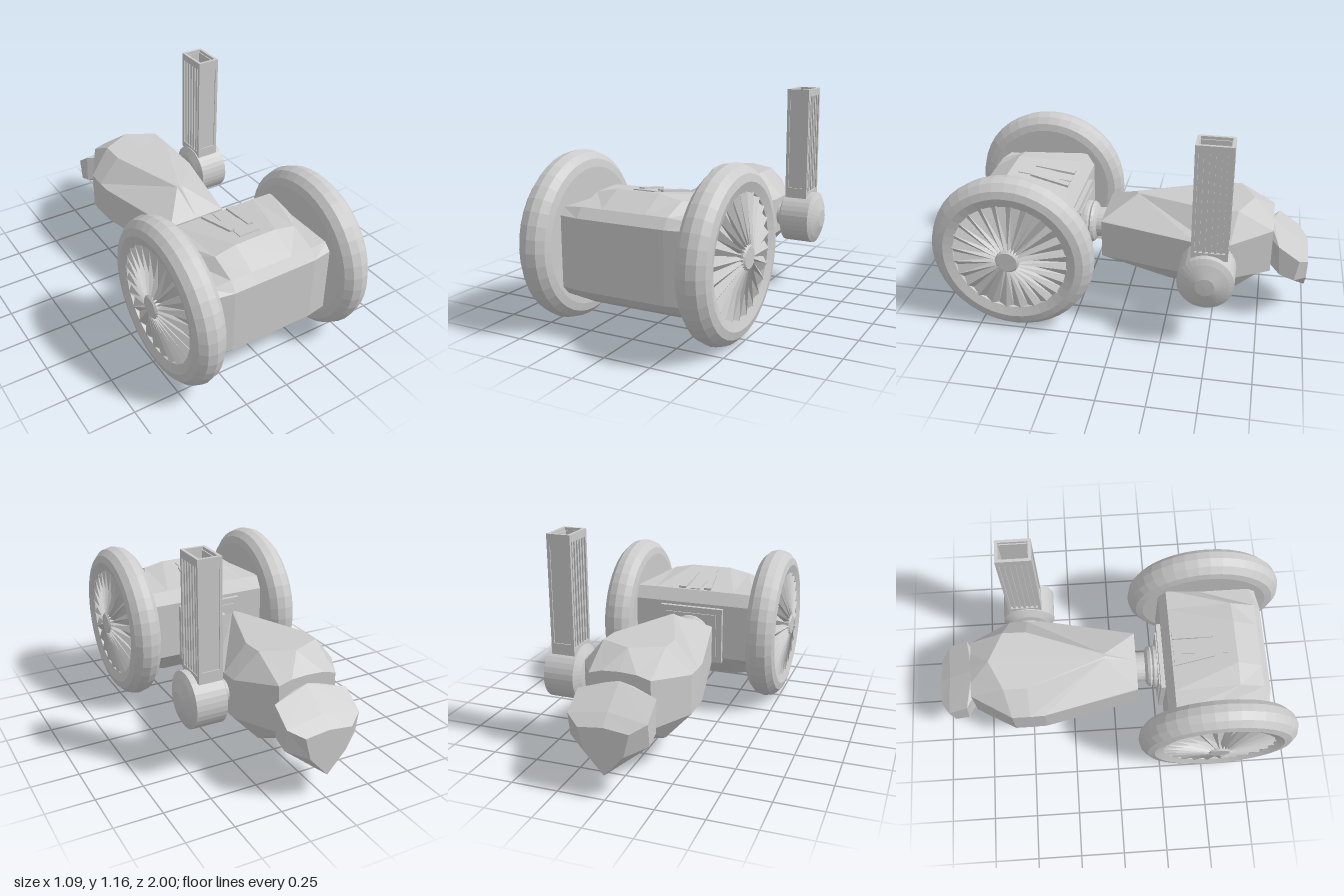
import * as THREE from 'three';

const mat = new THREE.MeshStandardMaterial({ color: 0xcccccc, flatShading: true });
const thin = new THREE.MeshStandardMaterial({ color: 0xcccccc, flatShading: true, side: THREE.DoubleSide });

function add(parent, name, geo, pos = [0, 0, 0], material = mat) {
  const m = new THREE.Mesh(geo, material);
  m.name = name;
  m.position.set(...pos);
  parent.add(m);
  return m;
}

function fromTriangles(tris) {
  const g = new THREE.BufferGeometry();
  g.setAttribute('position', new THREE.Float32BufferAttribute(tris.flat(2), 3));
  g.computeVertexNormals();
  return g;
}

// Closed flat-shaded skin over equal-length rings of points, always facing outward;
// the diagonals mirror across x = 0
function loft(rings) {
  const tris = [], n = rings[0].length;
  for (let i = 0; i < rings.length - 1; i++)
    for (let j = 0; j < n; j++) {
      const k = (j + 1) % n, a = rings[i][j], b = rings[i][k], c = rings[i + 1][k], d = rings[i + 1][j];
      if (a[0] + b[0] + c[0] + d[0] > 0) tris.push([a, b, c], [a, c, d]);
      else tris.push([a, b, d], [b, c, d]);
    }
  const cap = (ring, flip) => {
    const mid = [0, 1, 2].map(k => ring.reduce((s, p) => s + p[k], 0) / n);
    ring.forEach((p, j) => {
      const q = ring[(j + 1) % n];
      tris.push(flip ? [mid, q, p] : [mid, p, q]);
    });
  };
  cap(rings[0], true);
  cap(rings[rings.length - 1], false);
  const volume = tris.reduce((s, [a, b, c]) => s
    + a[0] * (b[1] * c[2] - b[2] * c[1])
    + a[1] * (b[2] * c[0] - b[0] * c[2])
    + a[2] * (b[0] * c[1] - b[1] * c[0]), 0);
  return fromTriangles(volume < 0 ? tris.map(([a, b, c]) => [a, c, b]) : tris);
}

// Half ring from top centre to bottom centre, completed by mirroring across x = 0
function mirrored(half) {
  return [...half, ...half.slice(1, -1).reverse().map(([x, y, z]) => [-x, y, z])];
}

// Lathe turned so that its axis runs along +x; profile is [radius, x]
function latheX(profile, segments) {
  return new THREE.LatheGeometry(profile.map(p => new THREE.Vector2(...p)), segments).rotateZ(-Math.PI / 2);
}

// Fan of raised, tilted blades between hub and rim
function bladeFan(count) {
  const tris = [], step = Math.PI * 2 / count;
  const p = (r, a, x) => [x, r * Math.cos(a), r * Math.sin(a)];
  const cuts = [[0, 0], [0.58, 0.035], [1, 0]];
  for (let i = 0; i < count; i++)
    for (let k = 0; k < cuts.length - 1; k++) {
      const [t0, h0] = cuts[k], [t1, h1] = cuts[k + 1];
      const a0 = (i + t0) * step, a1 = (i + t1) * step;
      const a = p(0.06, a0, 0.07 + h0), b = p(0.06, a1, 0.07 + h1);
      const c = p(0.315, a1, 0.05 + h1 * 0.7), d = p(0.315, a0, 0.05 + h0 * 0.7);
      tris.push([a, b, c], [a, c, d]);
    }
  return fromTriangles(tris);
}

function wheel(side) {
  const g = new THREE.Group();
  g.name = side > 0 ? 'leftWheel' : 'rightWheel';
  add(g, 'tyre', latheX([[0, -0.084], [0.36, -0.086], [0.4, -0.077], [0.433, -0.045], [0.445, 0],
    [0.433, 0.045], [0.4, 0.077], [0.36, 0.086], [0.31, 0.07], [0.31, 0.03], [0, 0.03]], 40), [0, 0, 0], thin);
  add(g, 'blades', bladeFan(24), [0, 0, 0], thin);
  add(g, 'hub', latheX([[0, 0], [0.065, 0], [0.065, 0.1], [0.055, 0.11], [0, 0.11]], 20), [0, 0, 0], thin);
  g.position.set(side * 0.435, 0.445, 0.558);
  if (side < 0) g.rotation.y = Math.PI;
  return g;
}

// Front housing between the wheels: cross-sections along x, each a loop of [z, y]
function housing() {
  const middle = [[0.85, 0.245], [0.85, 0.61], [0.81, 0.66], [0.67, 0.735], [0.32, 0.675], [0.28, 0.605],
    [0.28, 0.28], [0.42, 0.14], [0.7, 0.14], [0.81, 0.2]];
  const shoulder = middle.map(([z, y]) => [z, Math.min(y, 0.71)]);
  const end = [[0.83, 0.245], [0.83, 0.61], [0.79, 0.645], [0.48, 0.645], [0.32, 0.672], [0.28, 0.605],
    [0.28, 0.28], [0.42, 0.17], [0.7, 0.17], [0.79, 0.2]];
  const at = (x, s) => s.map(([z, y]) => [x, y, z]);
  return loft([at(-0.36, end), at(-0.24, shoulder), at(-0.12, middle),
    at(0.12, middle), at(0.24, shoulder), at(0.36, end)]);
}

// Faceted rear body: half rings of [x, y, z] from front to back
function rearBody() {
  return loft([
    [[0, 0.525, 0.13], [0.165, 0.525, 0.13], [0.17, 0.52, 0.13],
      [0.17, 0.305, 0.13], [0.165, 0.302, 0.13], [0, 0.302, 0.13]],
    [[0, 0.635, -0.04], [0.015, 0.633, -0.05], [0.285, 0.51, -0.4],
      [0.285, 0.305, -0.4], [0.13, 0.172, -0.25], [0, 0.17, -0.24]],
    [[0, 0.65, -0.48], [0.165, 0.65, -0.48], [0.287, 0.51, -0.48],
      [0.287, 0.305, -0.48], [0.16, 0.17, -0.48], [0, 0.17, -0.48]],
    [[0, 0.66, -0.69], [0.165, 0.655, -0.61], [0.287, 0.515, -0.58],
      [0.287, 0.305, -0.58], [0.16, 0.17, -0.61], [0, 0.17, -0.69]],
    [[0, 0.575, -0.8], [0.09, 0.57, -0.8], [0.16, 0.55, -0.8],
      [0.16, 0.3, -0.8], [0.09, 0.29, -0.8], [0, 0.29, -0.8]]].map(mirrored));
}

// Drooping tail block
function tail() {
  return loft([
    [[0, 0.53, -0.78], [0.12, 0.48, -0.79], [0.12, 0.33, -0.79], [0, 0.29, -0.79]],
    [[0, 0.53, -0.8], [0.203, 0.48, -0.835], [0.203, 0.31, -0.85], [0, 0.27, -0.82]],
    [[0, 0.43, -0.94], [0.203, 0.4, -0.95], [0.203, 0.28, -0.93], [0, 0.175, -0.94]],
    [[0, 0.375, -1], [0.13, 0.36, -1], [0.1, 0.24, -1], [0, 0.13, -1]]].map(mirrored));
}

// Upright hollow tower with framed panels and slatted sides
function tower() {
  const g = new THREE.Group();
  g.name = 'tower';
  const w = 0.128, d = 0.188, h = 0.63, t = 0.016;
  const box = (name, sx, sy, sz, x, y, z) => add(g, name, new THREE.BoxGeometry(sx, sy, sz), [x, y, z]);
  for (const s of [-1, 1]) {
    for (const q of [-1, 1]) box('cornerPost', t, h, t, s * (w - t) / 2, h / 2, q * (d - t) / 2);
    for (const q of [-1, 1]) {
      box('sideRail', t, 0.04, d - 2 * t, s * (w - t) / 2, h / 2 + q * (h / 2 - 0.02), 0);
      box('endRail', w - 2 * t, 0.06, t, 0, h / 2 + q * (h / 2 - 0.03), s * (d - t) / 2);
    }
    box('sideWall', 0.008, h - 0.03, d - 2 * t, s * (w / 2 - 0.018), h / 2, 0);
    box('endPanel', w - 2 * t, h - 0.03, 0.012, 0, h / 2, s * (d / 2 - 0.012));
    for (let i = -2; i <= 2; i++) box('slat', 0.012, h - 0.08, 0.014, s * (w / 2 - 0.009), h / 2, i * 0.029);
  }
  box('floor', w - 0.03, 0.02, d - 0.03, 0, 0.01, 0);
  g.position.set(0.409, 0.53, -0.486);
  return g;
}

export function createModel() {
  const model = new THREE.Group();
  model.name = 'wheeledMachine';
  model.add(wheel(1), wheel(-1));
  add(model, 'frontHousing', housing());

  // Raised wedge with two angled fins on the sloping roof
  const onRoof = (x, z, lift) => [x, 0.735 - (0.67 - z) * 0.171 + lift, z];
  const wedge = (x0, x1, x2, x3, z0, z1, lift) => loft([-0.03, lift].map(l =>
    [onRoof(x0, z0, l), onRoof(x1, z0, l), onRoof(x2, z1, l), onRoof(x3, z1, l)]));
  add(model, 'roofWedge', wedge(-0.06, 0.06, 0.03, -0.03, 0.62, 0.33, 0.005));
  for (const s of [-1, 1])
    add(model, 'roofFin', wedge(s * 0.04, s * 0.07, s * 0.1, s * 0.055, 0.55, 0.33, 0.012));

  // Rear plate and ringed coupling
  add(model, 'rearPlate', new THREE.BoxGeometry(0.38, 0.33, 0.03), [0, 0.422, 0.27]);
  add(model, 'rearPlateInset', new THREE.BoxGeometry(0.31, 0.26, 0.015), [0, 0.422, 0.255]);
  const neck = latheX([[0, -0.02], [0.085, -0.02], [0.085, 0.06], [0.11, 0.075], [0.118, 0.09],
    [0.11, 0.1], [0.12, 0.11], [0.12, 0.14], [0, 0.14]], 24).rotateY(-Math.PI / 2);
  add(model, 'coupling', neck, [0, 0.42, 0.12], thin);

  add(model, 'rearBody', rearBody());
  add(model, 'tail', tail());

  // Side pivot drum carrying the tower
  add(model, 'pivotDrum', latheX([[0, 0.24], [0.065, 0.24], [0.065, 0.31], [0.1, 0.315], [0.148, 0.34],
    [0.148, 0.505], [0.12, 0.52], [0.05, 0.545], [0, 0.547]], 32), [0, 0.41, -0.475], thin);
  model.add(tower());
  return model;
}
